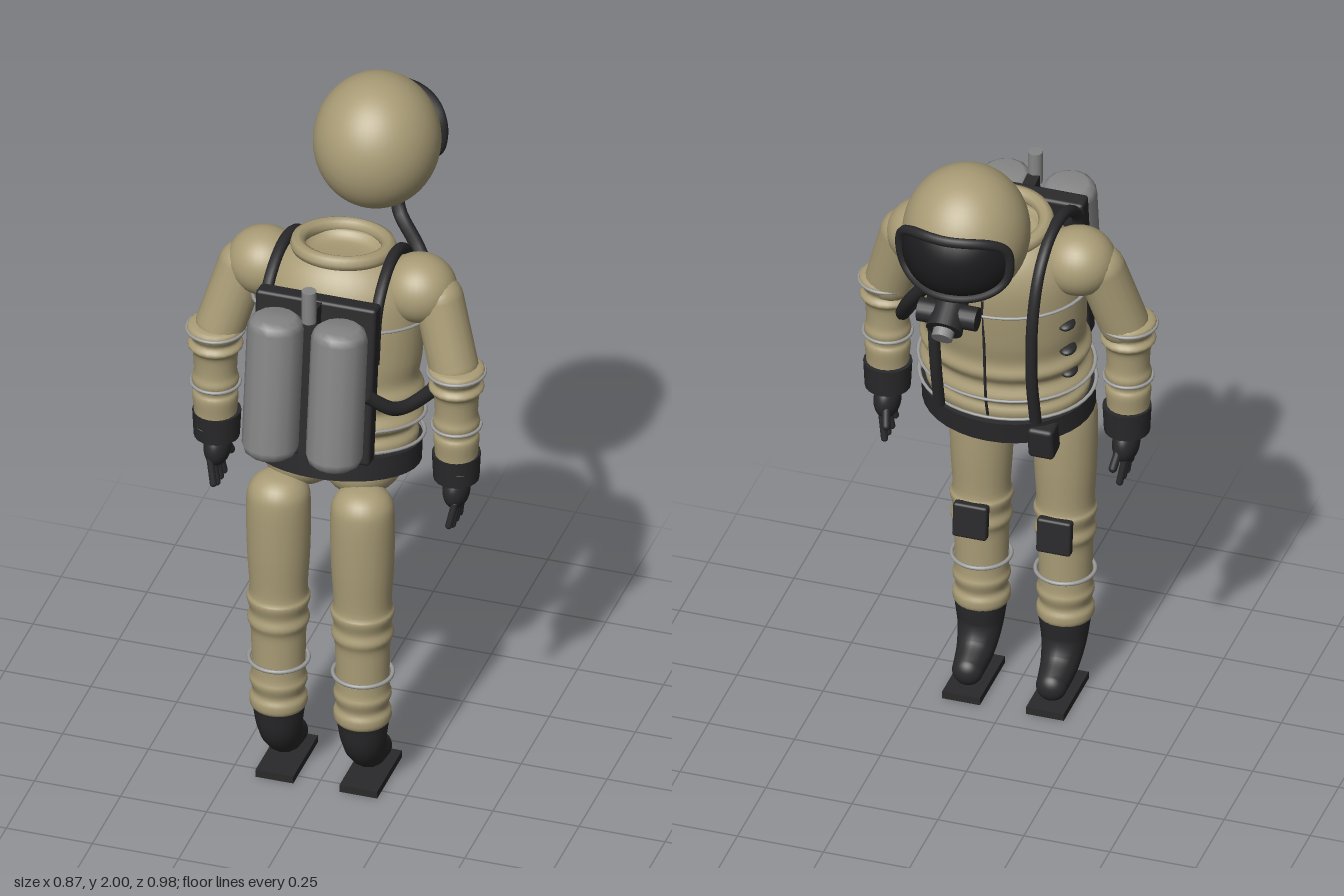
import * as THREE from 'three';
import { ParametricGeometry } from 'three/addons/geometries/ParametricGeometry.js';
import { RoundedBoxGeometry } from 'three/addons/geometries/RoundedBoxGeometry.js';

const material = (name, color, side = THREE.FrontSide) => {
  const m = new THREE.MeshStandardMaterial({ color, side });
  m.name = name;
  return m;
};
const V = (x, y, z) => new THREE.Vector3(x, y, z);

export function createModel() {
  const suit = material('suit tan', 0xa99c76);
  const black = material('rubber black', 0x29292b);
  const glass = material('visor black', 0x1c1c1e, THREE.DoubleSide);
  const steel = material('tank grey', 0x858585);
  const wire = material('ring grey', 0x9c9c9a);

  const model = new THREE.Group();
  model.name = 'diver';

  const add = (parent, name, geometry, mat, pos = [0, 0, 0], scale = [1, 1, 1]) => {
    const mesh = new THREE.Mesh(geometry, mat);
    mesh.name = name;
    mesh.position.set(...pos);
    mesh.scale.set(...scale);
    parent.add(mesh);
    return mesh;
  };
  const group = (parent, name) => {
    const g = new THREE.Group();
    g.name = name;
    parent.add(g);
    return g;
  };
  const ball = () => new THREE.SphereGeometry(1, 32, 24);
  const curve = (pts) => new THREE.CatmullRomCurve3(pts.map((p) => V(...p)));
  const tube = (pts, r) => new THREE.TubeGeometry(curve(pts), 48, r, 10);

  // Smooth turned shape from a few [radius, height] points, listed bottom up
  const turned = (pts, sides = 28) => {
    const spline = new THREE.SplineCurve(pts.map((p) => new THREE.Vector2(...p)));
    const profile = spline.getPoints(pts.length * 4).map((p) => p.setX(Math.max(p.x, 0)));
    return new THREE.LatheGeometry(profile, sides);
  };
  // Flat lying ring
  const ring = (R, r, sides = 36) => new THREE.TorusGeometry(R, r, 8, sides).rotateX(Math.PI / 2);
  // Capsule from a to b
  const capsule = (parent, name, a, b, r, mat) => {
    const p = V(...a), q = V(...b), d = q.clone().sub(p);
    const mesh = add(parent, name, new THREE.CapsuleGeometry(r, d.length(), 8, 18), mat);
    mesh.position.copy(p).add(q).multiplyScalar(0.5);
    mesh.quaternion.setFromUnitVectors(V(0, 1, 0), d.normalize());
    return mesh;
  };
  // Tube whose radius goes linearly from r0 to r1
  const taperTube = (pts, r0, r1) => {
    const c = curve(pts), n = 20, k = 16;
    const g = new THREE.TubeGeometry(c, n, 1, k);
    const pos = g.attributes.position, v = V(0, 0, 0);
    for (let i = 0; i <= n; i++) {
      const centre = c.getPointAt(i / n);
      for (let j = 0; j <= k; j++) {
        const id = i * (k + 1) + j;
        v.fromBufferAttribute(pos, id).sub(centre).multiplyScalar(r0 + (r1 - r0) * i / n).add(centre);
        pos.setXYZ(id, v.x, v.y, v.z);
      }
    }
    g.computeVertexNormals();
    return g;
  };

  // Torso, leaning towards -z
  const torso = group(model, 'torso');
  torso.position.set(0, 1.05, 0.12);
  torso.rotation.x = -0.13;
  add(torso, 'jacket', turned([
    [0, -0.05], [0.75, -0.05], [0.92, 0], [1, 0.05], [0.94, 0.08], [1.05, 0.11], [0.96, 0.15], [1.04, 0.19],
    [0.97, 0.23], [1, 0.3], [1, 0.42], [0.94, 0.5], [0.78, 0.56], [0.55, 0.595], [0.4, 0.57], [0, 0.565],
  ], 40), suit, [0, 0, 0], [0.235, 1, 0.178]);
  add(torso, 'collar', ring(0.127, 0.022, 40), suit, [0, 0.6, 0.008], [1, 1, 0.97]);
  add(torso, 'belt', new THREE.CylinderGeometry(1, 1, 0.068, 36), black, [0, 0, 0], [0.245, 1, 0.2]);
  for (const y of [0.05, 0.115, 0.42]) {
    add(torso, 'jacketRing', ring(1, 0.022, 44), wire, [0, y, 0], [0.25, 0.2, 0.195]);
  }
  add(torso, 'zipper', tube([[0, 0.04, -0.178], [0, 0.11, -0.187], [0, 0.3, -0.178], [0, 0.46, -0.174]], 0.004), black);
  for (const y of [0.17, 0.25, 0.34]) {
    add(torso, 'jacketPatch', ball(), black, [-0.208, y, -0.075], [0.024, 0.012, 0.03]);
  }
  add(torso, 'beltPouch', new RoundedBoxGeometry(0.075, 0.1, 0.07, 2, 0.012), black, [-0.15, -0.03, -0.15]);

  // Back pack
  const pack = group(torso, 'airPack');
  add(pack, 'backPlate', new RoundedBoxGeometry(0.35, 0.48, 0.055, 2, 0.01), black, [0, 0.294, 0.22]);
  add(pack, 'centreBar', new THREE.BoxGeometry(0.036, 0.46, 0.06), black, [0, 0.3, 0.26]);
  const tankShape = new THREE.LatheGeometry([
    [0, -0.215], [0.055, -0.213], [0.072, -0.2], [0.079, -0.18], [0.079, 0.18], [0.072, 0.2], [0.055, 0.213], [0, 0.215],
  ].map((p) => new THREE.Vector2(...p)), 14);
  for (const s of [-1, 1]) add(pack, 'tank', tankShape, steel, [s * 0.093, 0.287, 0.312]);
  add(model, 'valve', new THREE.CylinderGeometry(0.021, 0.021, 0.1, 12), steel, [0, 1.63, 0.355]);

  // Head with visor and breathing piece
  const head = group(model, 'headGroup');
  head.position.set(0, 1.805, -0.25);
  add(head, 'head', new THREE.SphereGeometry(1, 48, 32), suit, [0, 0, 0], [0.177, 0.195, 0.186]);
  const onHead = (r, a, grow) => {
    const c = Math.cos(a), s = Math.sin(a);
    const az = r * 1.03 * Math.sign(c) * Math.abs(c) ** 0.7;
    const el = -0.1 + r * 0.5 * Math.sign(s) * Math.abs(s) ** 0.7;
    return V(0.177 * Math.sin(az) * Math.cos(el), 0.195 * Math.sin(el), -0.186 * Math.cos(az) * Math.cos(el)).multiplyScalar(grow);
  };
  add(head, 'visor', new ParametricGeometry((u, v, t) => {
    t.copy(onHead(u, v * Math.PI * 2, 1.04 + 0.05 * (1 - u * u)));
  }, 12, 48), glass);
  const rim = new THREE.CatmullRomCurve3(Array.from({ length: 40 }, (_, i) => onHead(1, i / 40 * Math.PI * 2, 1.05)), true);
  add(head, 'visorRim', new THREE.TubeGeometry(rim, 80, 0.015, 8, true), black);
  const mouth = group(head, 'breathingPiece');
  mouth.position.set(0, -0.178, -0.155);
  mouth.rotation.x = -Math.PI / 2 - 0.6;
  add(mouth, 'regulator', new THREE.CylinderGeometry(0.052, 0.045, 0.1, 20), black);
  add(mouth, 'regulatorCap', new THREE.CylinderGeometry(0.03, 0.03, 0.03, 16), steel, [0, 0.06, 0]);
  for (const s of [-1, 1]) {
    add(mouth, 'exhaust', new THREE.CylinderGeometry(0.034, 0.034, 0.05, 16).rotateZ(Math.PI / 2), black, [s * 0.06, 0, 0]);
  }

  // Air hose on the +x side
  add(model, 'airHose', tube([
    [0.04, 1.64, -0.34], [0.08, 1.62, -0.2], [0.15, 1.53, -0.16], [0.22, 1.42, -0.1], [0.265, 1.32, -0.01],
    [0.285, 1.27, 0.08], [0.27, 1.27, 0.17], [0.225, 1.29, 0.28], [0.16, 1.36, 0.345],
  ], 0.02), black);

  // Hips
  for (const s of [-1, 1]) add(model, 'hip', ball(), suit, [s * 0.085, 1.01, 0.13], [0.115, 0.095, 0.13]);

  for (const s of [-1, 1]) {
    // Shoulder strap
    add(model, 'shoulderStrap', tube([
      [s * 0.16, 1.42, 0.27], [s * 0.16, 1.58, 0.235], [s * 0.157, 1.65, 0.13], [s * 0.153, 1.645, 0.03],
      [s * 0.15, 1.58, -0.06], [s * 0.145, 1.45, -0.105], [s * 0.14, 1.25, -0.1], [s * 0.14, 1.08, -0.065],
    ], 0.017), black);

    // Arm
    const arm = group(model, s > 0 ? 'leftArm' : 'rightArm');
    add(arm, 'shoulder', ball(), suit, [s * 0.225, 1.555, 0.06], [0.105, 0.098, 0.102]);
    capsule(arm, 'upperArm', [s * 0.285, 1.535, 0.07], [s * 0.338, 1.35, 0.105], 0.07, suit);
    add(arm, 'forearm', turned([
      [0, -0.17], [0.055, -0.17], [0.06, -0.1], [0.064, -0.05], [0.057, -0.03], [0.066, 0], [0.06, 0.03],
      [0.064, 0.09], [0.078, 0.115], [0.066, 0.135], [0.078, 0.16], [0.07, 0.18], [0, 0.19],
    ], 20), suit, [s * 0.35, 1.175, 0.115]);
    for (const [y, r] of [[1.34, 0.08], [1.165, 0.068]]) {
      add(arm, 'armRing', ring(r, 0.005, 28), wire, [s * 0.35, y, 0.115]);
    }
    add(arm, 'gloveCuff', new THREE.CylinderGeometry(0.068, 0.064, 0.082, 20), black, [s * 0.348, 1.028, 0.11]);
    add(arm, 'palm', ball(), black, [s * 0.347, 0.945, 0.105], [0.037, 0.058, 0.056]);
    for (let i = 0; i < 4; i++) {
      const z = 0.075 + i * 0.024;
      capsule(arm, 'finger', [s * 0.355, 0.92, z], [s * 0.342, 0.838 + (i === 3 ? 0.015 : 0), z + (i - 1.5) * 0.008], 0.01, black);
    }
    capsule(arm, 'thumb', [s * 0.34, 0.95, 0.07], [s * 0.33, 0.895, 0.04], 0.012, black);

    // Leg
    const leg = group(model, s > 0 ? 'leftLeg' : 'rightLeg');
    const x = s * 0.122;
    add(leg, 'trouser', turned([
      [0, 0.23], [0.07, 0.23], [0.081, 0.26], [0.072, 0.285], [0.081, 0.32], [0.075, 0.35], [0.076, 0.44], [0.078, 0.49],
      [0.087, 0.52], [0.08, 0.55], [0.089, 0.59], [0.081, 0.62], [0.088, 0.75], [0.09, 0.9], [0.079, 0.955], [0.045, 0.985], [0, 0.993],
    ]), suit, [x, 0, 0.252]);
    add(leg, 'legRing', ring(0.083, 0.006), wire, [x, 0.385, 0.25]);
    const pad = add(leg, 'kneePad', new RoundedBoxGeometry(0.1, 0.105, 0.03, 2, 0.008), black, [x, 0.55, 0.157]);
    pad.rotation.x = 0.1;
    add(leg, 'boot', taperTube([[x, 0.24, 0.248], [x, 0.16, 0.24], [x, 0.1, 0.2], [x, 0.068, 0.13]], 0.075, 0.044), black);
    add(leg, 'toe', ball(), black, [x, 0.068, 0.13], [0.044, 0.044, 0.038]);
    add(leg, 'sole', new THREE.BoxGeometry(0.11, 0.022, 0.22), black, [x, 0.011, 0.18]);
  }
  return model;
}
